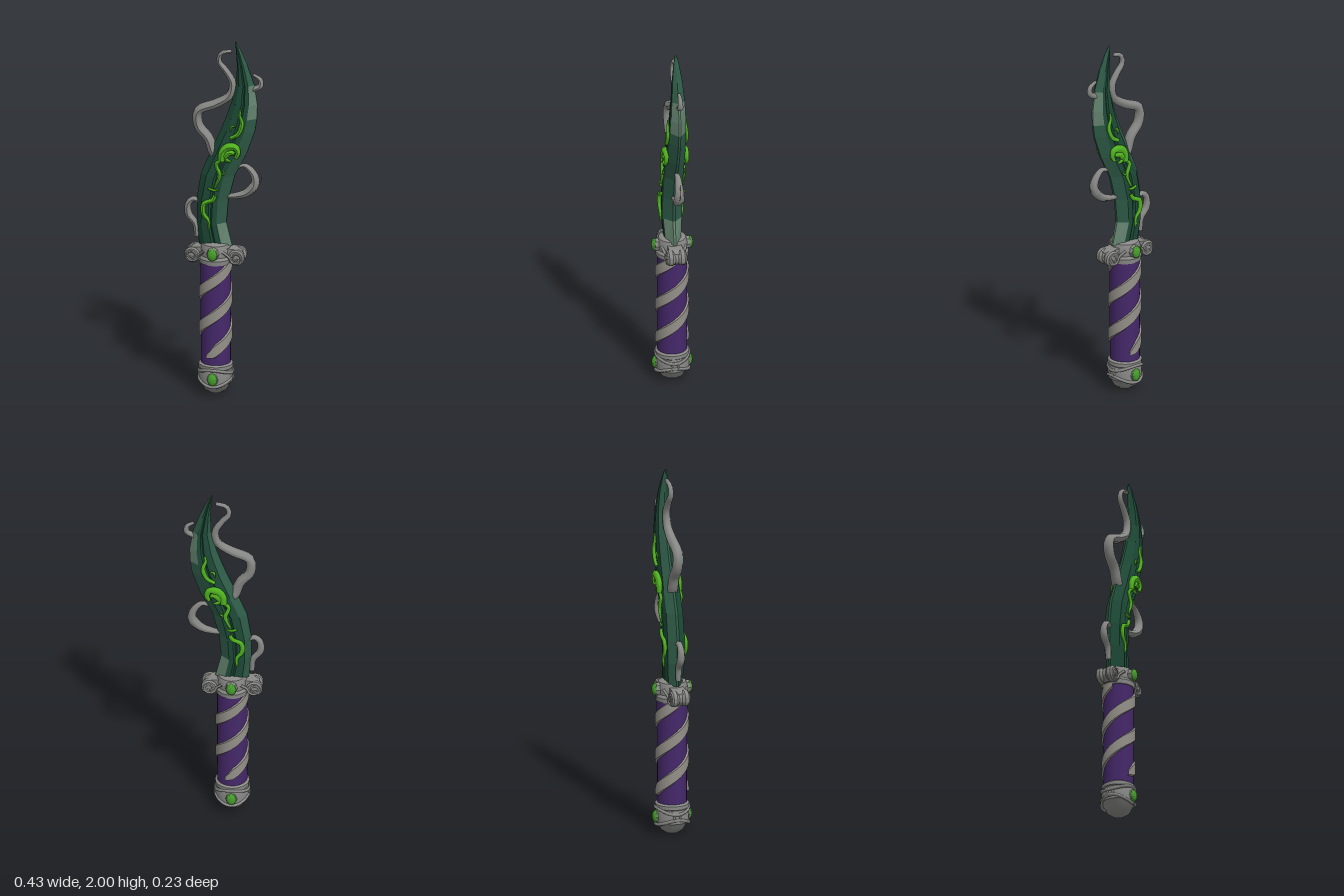
import * as THREE from 'three';
import { toCreasedNormals } from 'three/addons/utils/BufferGeometryUtils.js';

const mat = (name, color) => {
  const m = new THREE.MeshStandardMaterial({ color });
  m.name = name;
  return m;
};
const CX = -0.045; // axis of handle, guard and pommel

// Skin rows of points; every row is a closed ring
function loft(rows, from = 0, to = rows[0].length) {
  const pos = [];
  const n = rows[0].length;
  for (let i = 0; i + 1 < rows.length; i++) {
    for (let j = from; j < to; j++) {
      const k = (j + 1) % n;
      const a = rows[i][j], b = rows[i][k], c = rows[i + 1][k], d = rows[i + 1][j];
      pos.push(...a, ...b, ...c, ...a, ...c, ...d);
    }
  }
  const g = new THREE.BufferGeometry();
  g.setAttribute('position', new THREE.Float32BufferAttribute(pos, 3));
  g.computeVertexNormals();
  return g;
}

// Tube whose radius tapers from r0 through r1 to r2
function taperTube(points, r0, r1, r2, flat = 1, seg = 36, sides = 7) {
  const curve = new THREE.CatmullRomCurve3(points.map(p => new THREE.Vector3(p[0], p[1], p[2] || 0)));
  const g = new THREE.TubeGeometry(curve, seg, 1, sides);
  const p = g.attributes.position;
  const v = new THREE.Vector3();
  for (let k = 0; k < p.count; k++) {
    const t = Math.floor(k / (sides + 1)) / seg;
    const c = curve.getPointAt(t);
    const r = t < 0.5 ? r0 + (r1 - r0) * t * 2 : r1 + (r2 - r1) * (t * 2 - 1);
    v.fromBufferAttribute(p, k).sub(c).multiplyScalar(r);
    p.setXYZ(k, c.x + v.x, c.y + v.y, c.z + v.z * flat);
  }
  g.computeVertexNormals();
  return g;
}

// Blade stations: y, left edge, right edge, half thickness
const BLADE = [
  [0.84, -0.135, 0.045, 0.045], [0.97, -0.147, 0.014, 0.055], [1.1, -0.147, 0.025, 0.056],
  [1.24, -0.125, 0.06, 0.055], [1.37, -0.072, 0.125, 0.052], [1.5, -0.015, 0.17, 0.048],
  [1.57, 0.012, 0.18, 0.046], [1.65, 0.04, 0.183, 0.044], [1.76, 0.068, 0.166, 0.038],
  [1.87, 0.071, 0.127, 0.028], [1.95, 0.065, 0.092, 0.016], [2.0, 0.06, 0.064, 0.005],
];
function thickness(y) {
  for (let i = 1; i < BLADE.length; i++) {
    const a = BLADE[i - 1], b = BLADE[i];
    if (y <= b[0]) return a[3] + (b[3] - a[3]) * (y - a[0]) / (b[0] - a[0]);
  }
  return 0;
}

export function createModel() {
  const root = new THREE.Group();
  root.name = 'dagger';
  const metal = mat('grey metal', 0x888886);
  const strapGrey = mat('light grey strap', 0x949089);
  const purple = mat('purple grip', 0x45286a);
  const green = mat('dark green blade', 0x1d4a37);
  const edge = mat('mid green edge', 0x2f5b48);
  const pale = mat('pale green edge', 0x64836f);
  const glow = mat('bright green', 0x50b31f);
  const gemGreen = mat('gem green', 0x459c2a);

  function add(name, geo, material, x = 0, y = 0, z = 0, parent = root) {
    const m = new THREE.Mesh(geo, material);
    m.name = name;
    m.position.set(x, y, z);
    parent.add(m);
    return m;
  }
  const lathe = (pts, seg = 20) =>
    toCreasedNormals(new THREE.LatheGeometry(pts.map(p => new THREE.Vector2(p[0], p[1])), seg), 0.6);

  // Curved blade with bevels and a shallow centre groove
  const rows = BLADE.map(([y, l, r, t]) => {
    const at = (u, w) => [l + (r - l) * u, y, t * w];
    return [at(0, 0.12), at(0.2, 0.85), at(0.44, 1), at(0.5, 0.82), at(0.56, 1), at(0.72, 0.92), at(1, 0.12),
      at(1, -0.12), at(0.72, -0.92), at(0.56, -1), at(0.5, -0.82), at(0.44, -1), at(0.2, -0.85), at(0, -0.12)];
  });
  add('bladeFront', loft(rows, 0, 5), green);
  add('bladeBack', loft(rows, 8, 12), green);
  add('bladeSpine', loft(rows, 12, 14), edge);
  // Cutting edge, worn pale near the base and on the upper curve
  [[0, 2, pale], [1, 7, edge], [6, 9, pale], [8, 12, edge]].forEach(([a, b, m], i) => {
    const start = i % 2 ? a + 0 : a;
    add('cuttingEdge', loft(rows.slice(start, b), 5, 8), m);
  });

  // Tendrils curling off both edges
  const tendrils = [
    [[[0.0, 1.31], [-0.055, 1.36], [-0.085, 1.44], [-0.14, 1.51], [-0.14, 1.59], [-0.04, 1.64], [0.03, 1.69],
      [0.046, 1.765], [0.01, 1.83], [-0.028, 1.88], [-0.015, 1.925], [0.045, 1.942]], 0.028, 0.026, 0.01, 1.1],
    [[[0.13, 1.72], [0.17, 1.738], [0.197, 1.755], [0.198, 1.79], [0.158, 1.818]], 0.015, 0.016, 0.008, 1],
    [[[0.0, 1.115], [0.06, 1.122], [0.125, 1.145], [0.167, 1.195], [0.165, 1.245], [0.12, 1.295], [0.08, 1.29]],
      0.012, 0.027, 0.01, 1.1],
    [[[0.19, 1.285], [0.204, 1.225], [0.155, 1.15], [0.055, 1.1]], 0.001, 0.003, 0.001, 1],
    [[[-0.15, 0.88], [-0.157, 0.95], [-0.195, 1.005], [-0.195, 1.06], [-0.165, 1.088], [-0.12, 1.07]],
      0.014, 0.02, 0.012, 1.1],
  ];
  tendrils.forEach(([pts, a, b, c, f]) => add('tendril', taperTube(pts, a, b, c, f), metal));

  // Raised vines and arched bud on both blade faces: points and mid radius
  const vines = [
    [[[0.045, 1.465], [0.085, 1.49], [0.108, 1.55], [0.095, 1.6], [0.1, 1.635]], 0.013],
    [[[0.07, 1.535], [0.05, 1.53], [0.045, 1.5]], 0.007],
    [[[0.0, 1.34], [-0.03, 1.315], [-0.012, 1.25], [-0.04, 1.18]], 0.012],
    [[[-0.005, 1.255], [0.012, 1.265], [0.008, 1.285]], 0.006],
    [[[-0.075, 1.175], [-0.045, 1.165], [-0.015, 1.172]], 0.008],
    [[[-0.035, 1.14], [-0.05, 1.11], [-0.097, 1.085], [-0.1, 1.03], [-0.073, 0.99], [-0.073, 0.94]], 0.014],
    [[[-0.004, 1.335], [0.003, 1.385], [0.035, 1.415], [0.075, 1.415], [0.087, 1.385], [0.075, 1.355]], 0.023],
    [[[0.015, 1.36], [0.04, 1.385], [0.07, 1.38]], 0.02],
    [[[0.012, 1.36], [0.03, 1.34], [0.052, 1.335]], 0.011],
  ];
  for (const s of [1, -1]) {
    vines.forEach(([pts, r]) => add('vine', taperTube(
      pts.map(([x, y]) => [x, y, s * (thickness(y) + 0.004)]), r * 0.8, r, r * 0.45, 0.8), glow));
  }

  // Grip with two spiral straps
  add('grip', new THREE.CylinderGeometry(0.082, 0.08, 0.62, 20), purple, CX, 0.465);
  for (let k = 0; k < 2; k++) {
    const strap = [];
    for (let i = 0; i <= 60; i++) {
      const y = 0.225 + 0.535 * i / 60;
      const a = (y - 0.65) / 0.4 * Math.PI * 2 + k * Math.PI;
      const w = Math.min(1, 0.3 + i / 5);
      strap.push([[0.074, 0.042], [0.09, 0.032], [0.09, -0.032], [0.074, -0.042]]
        .map(([r, h]) => [CX + Math.sin(a) * r, y + h * w, Math.cos(a) * r]));
    }
    add('spiralStrap', toCreasedNormals(loft(strap), 0.6), strapGrey);
  }

  // Pommel with wavy rims
  add('pommel', lathe([[0, 0], [0.035, 0.006], [0.062, 0.025], [0.077, 0.055], [0.09, 0.07], [0.092, 0.11],
    [0.087, 0.145], [0.092, 0.15], [0.092, 0.17], [0.08, 0.178], [0, 0.18]]), metal, CX);
  for (const [y, amp] of [[0.075, -0.018], [0.138, 0.014]]) {
    const ring = [];
    for (let i = 0; i <= 32; i++) {
      const a = i / 32 * Math.PI * 2;
      ring.push([CX + Math.sin(a) * 0.09, y + amp * Math.cos(2 * a), Math.cos(a) * 0.09]);
    }
    add('pommelRim', taperTube(ring, 0.009, 0.009, 0.009, 1, 48, 6), metal);
  }
  for (const s of [1, -1]) {
    const boss = add('pommelBoss', new THREE.TorusGeometry(0.018, 0.006, 6, 14), metal, CX + s * 0.09, 0.105, 0);
    boss.rotation.y = Math.PI / 2;
  }

  // Guard: core, arms and scrolled ends
  add('guardCore', lathe([[0, 0.74], [0.088, 0.745], [0.09, 0.77], [0.08, 0.785], [0.084, 0.82],
    [0.074, 0.85], [0.05, 0.862], [0, 0.862]]), metal, CX);
  for (const s of [1, -1]) {
    const arm = new THREE.Shape([[0, 0.75], [0.09, 0.755], [0.125, 0.742], [0.15, 0.77], [0.145, 0.815],
      [0.115, 0.828], [0.07, 0.832], [0.04, 0.86], [0, 0.88]].map(p => new THREE.Vector2(p[0] * s, p[1])));
    add('guardArm', new THREE.ExtrudeGeometry(arm, { depth: 0.076, bevelEnabled: false }), metal, CX, 0, -0.038);
    const scroll = add('guardScroll', lathe([[0, -0.05], [0.035, -0.05], [0.044, -0.042], [0.044, -0.022],
      [0.034, -0.008], [0.034, 0.008], [0.044, 0.022], [0.044, 0.042], [0.035, 0.05], [0, 0.05]], 14),
      metal, CX + s * 0.12, 0.785);
    scroll.rotation.x = Math.PI / 2;
    for (const f of [1, -1]) {
      const spiral = [];
      for (let i = 0; i <= 16; i++) {
        const a = i / 16 * Math.PI * 3, r = 0.008 + 0.028 * i / 16;
        spiral.push([CX + s * (0.12 + Math.cos(a) * r), 0.785 - Math.sin(a) * r, f * 0.05]);
      }
      spiral.push([CX + s * 0.05, 0.82, f * 0.066]);
      add('scrollSpiral', taperTube(spiral, 0.005, 0.006, 0.008, 1, 40, 6), metal);
    }
  }

  // Gems in pointed mounts, front and back
  for (const s of [1, -1]) {
    for (const [name, y, z, h] of [['guardGem', 0.81, 0.088, 0.066], ['pommelGem', 0.1, 0.085, 0.05]]) {
      const mount = add(name + 'Mount', toCreasedNormals(new THREE.CylinderGeometry(0.7, 1, 1, 8), 0.5),
        metal, CX, y, s * (z - 0.008));
      mount.rotation.x = s * Math.PI / 2;
      mount.scale.set(0.043, h, 0.048);
      mount.position.z = s * (z + 0.008 - h / 2);
      const gem = add(name, toCreasedNormals(new THREE.IcosahedronGeometry(1, 1), 0.2), gemGreen, CX, y, s * (z + 0.006));
      gem.scale.set(0.027, 0.036, 0.02);
    }
  }
  return root;
}
